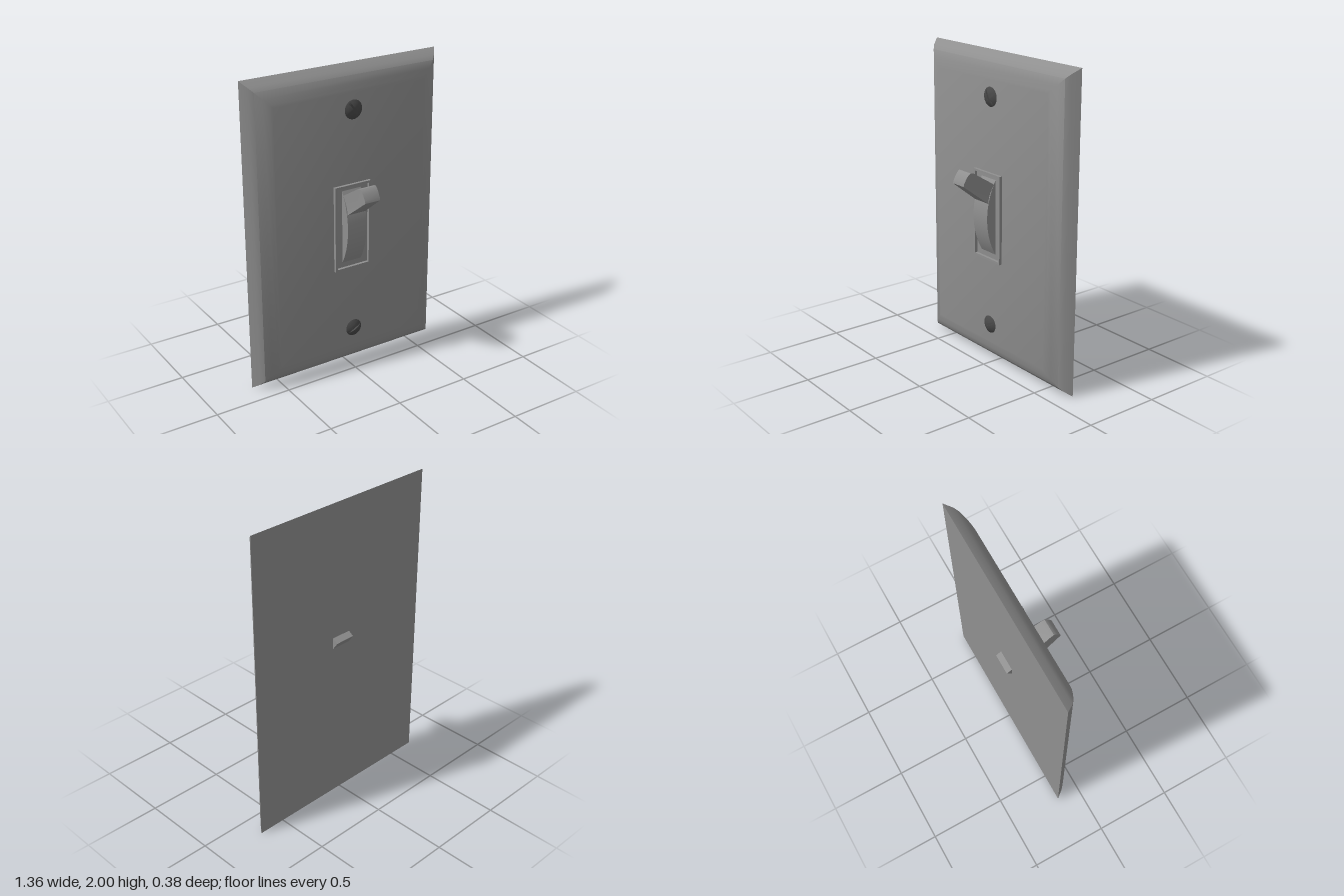
import * as THREE from 'three';
import { toCreasedNormals } from 'three/addons/utils/BufferGeometryUtils.js';

const plateGrey = new THREE.MeshStandardMaterial({ color: 0x8f8f8f });
const screwGrey = new THREE.MeshStandardMaterial({ color: 0x484848 });

function part(name, geometry, material = plateGrey, crease = 0.55) {
  const mesh = new THREE.Mesh(toCreasedNormals(geometry, crease), material);
  mesh.name = name;
  return mesh;
}

function fromTriangles(positions, index) {
  const g = new THREE.BufferGeometry();
  g.setAttribute('position', new THREE.Float32BufferAttribute(positions, 3));
  g.setIndex(index);
  return g;
}

// Wall plate: rectangular rings that step inward along a rounded bevel
function plateGeometry() {
  const profile = [[0, -0.152], [0.035, -0.105], [0.06, -0.083], [0.1, -0.061], [0.135, -0.047], [0.155, -0.041]];
  const positions = [], index = [];
  for (const [inset, z] of profile) {
    const w = 0.68 - inset, h = 1 - inset;
    positions.push(-w, 1 - h, z, w, 1 - h, z, w, 1 + h, z, -w, 1 + h, z);
  }
  const last = (profile.length - 1) * 4;
  for (let r = 0; r < last; r += 4) {
    for (let k = 0; k < 4; k++) {
      const a = r + k, b = r + (k + 1) % 4;
      index.push(a, b, b + 4, a, b + 4, a + 4);
    }
  }
  index.push(last, last + 1, last + 2, last, last + 2, last + 3); // front
  index.push(0, 2, 1, 0, 3, 2); // back
  return fromTriangles(positions, index);
}

// Low domed screw head with a slot cut across it
function screwGeometry(radius, height) {
  const slot = radius * 0.1, columns = [], n = 12, rows = 20;
  for (let i = 0; i <= n; i++) columns.push([slot + (radius - slot) * Math.sin((i / n) * Math.PI / 2), false]);
  columns.unshift([slot, true]);
  const all = [...columns.map(([u, low]) => [-u, low]).reverse(), ...columns];
  const positions = [], index = [];
  all.forEach(([u, low], i) => {
    const chord = Math.sqrt(Math.max(0, radius * radius - u * u));
    for (let j = 0; j <= rows; j++) {
      const v = chord * -Math.cos((j / rows) * Math.PI);
      const dome = height * (1 - (u * u + v * v) / (radius * radius));
      positions.push(u, v, low ? Math.min(dome, height * 0.35) : dome);
      if (i && j) {
        const d = i * (rows + 1) + j, c = d - rows - 1;
        index.push(c - 1, d - 1, d, c - 1, d, c);
      }
    }
  });
  return fromTriangles(positions, index);
}

// Extrude a side profile of [z, y] points across x
function sideExtrude(points, width, centre) {
  const shape = new THREE.Shape(points.map(([z, y]) => new THREE.Vector2(z, y)));
  const g = new THREE.ExtrudeGeometry(shape, { depth: width, bevelEnabled: false });
  return g.rotateY(-Math.PI / 2).translate(width / 2 + centre, 0, 0);
}

function rectangle(Type, x0, x1, y0, y1) {
  return new Type([[x0, y0], [x1, y0], [x1, y1], [x0, y1]].map(([x, y]) => new THREE.Vector2(x, y)));
}

export function createModel() {
  const model = new THREE.Group();
  model.name = 'toggleSwitch';
  // A wide crease angle keeps only the outer part of each corner mitre sharp
  model.add(part('wallPlate', plateGeometry(), plateGrey, 0.85));

  // Raised rim around the switch opening
  const rim = rectangle(THREE.Shape, -0.13, 0.128, 0.713, 1.277);
  rim.holes.push(rectangle(THREE.Path, -0.116, 0.114, 0.727, 1.263));
  const rimGeometry = new THREE.ExtrudeGeometry(rim, { depth: 0.03, bevelEnabled: false });
  model.add(part('switchRim', rimGeometry.translate(0, 0, -0.052)));

  // Curved body that the lever swings out of
  const body = [[-0.06, 1.24], [-0.06, 0.76]];
  const R = 0.475, span = Math.asin(0.24 / R);
  for (let i = 0; i <= 20; i++) {
    const a = span * (i / 10 - 1);
    body.push([0.024 - R + R * Math.cos(a), 1 + R * Math.sin(a)]);
  }
  model.add(part('switchBody', sideExtrude(body, 0.136, -0.002)));

  // Lever, narrowing towards its rounded tip and poking out of the back
  const lever = sideExtrude([
    [-0.152, 1.06], [0.015, 1.1], [0.19, 1.235], [0.186, 1.252], [0.167, 1.285],
    [0.153, 1.302], [0.14, 1.311], [0.117, 1.306], [-0.02, 1.22], [-0.187, 1.11],
  ], 0.134, 0);
  const p = lever.attributes.position;
  for (let i = 0; i < p.count; i++) {
    const t = THREE.MathUtils.clamp((p.getZ(i) + 0.02) / 0.2, 0, 1);
    p.setX(i, p.getX(i) * (1 - 0.21 * t) - 0.002);
  }
  model.add(part('lever', lever));

  // Fixing screws above and below
  for (const [name, y, r, turn] of [['upperScrew', 1.743, 0.062, 0.6], ['lowerScrew', 0.274, 0.058, -1.1]]) {
    const screw = part(name, screwGeometry(r, 0.021), screwGrey);
    screw.position.set(0.013, y, -0.042);
    screw.rotation.z = turn;
    model.add(screw);
  }
  return model;
}
